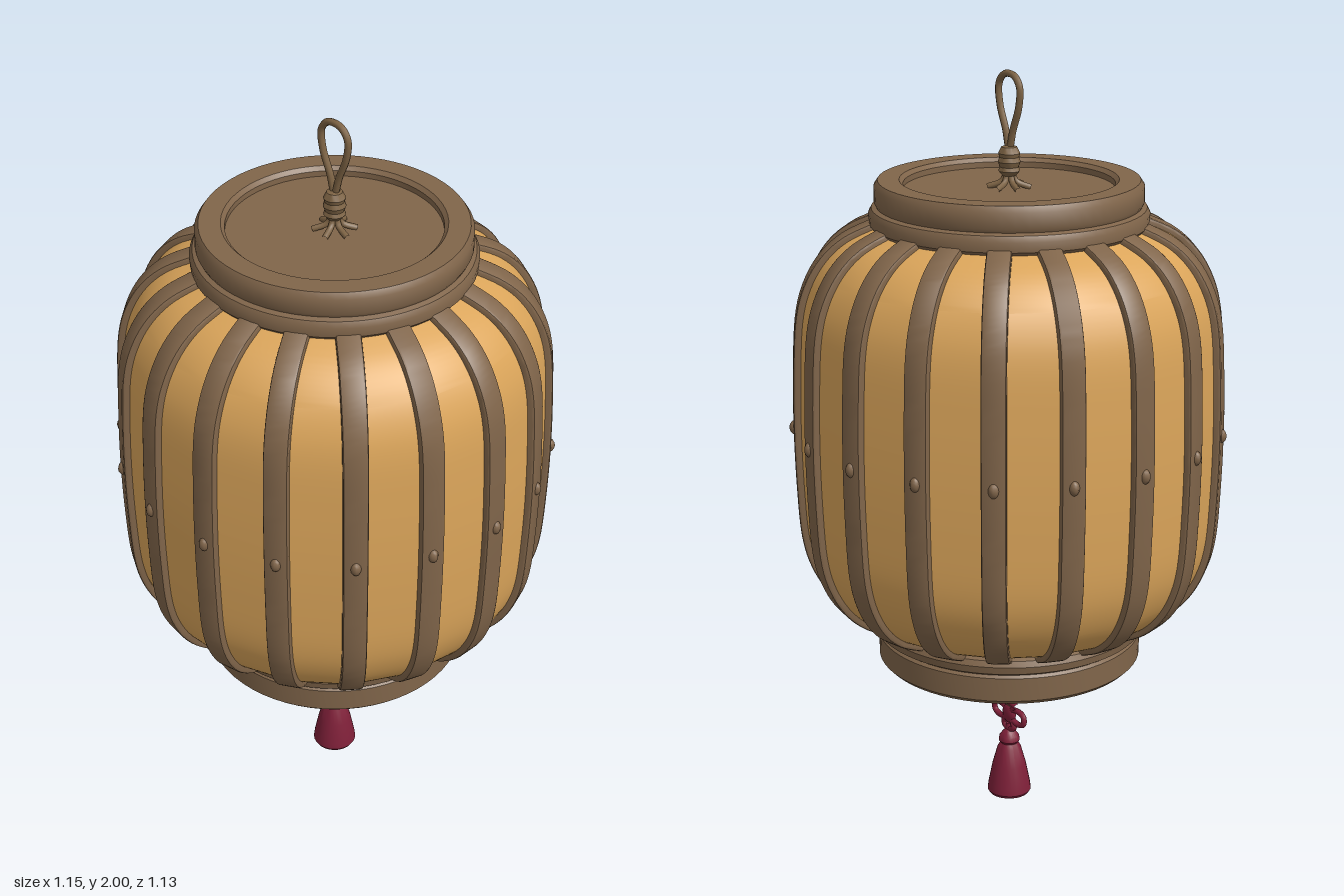
import * as THREE from 'three';
import { toCreasedNormals } from 'three/addons/utils/BufferGeometryUtils.js';

const mat = (name, color, side = THREE.FrontSide) => {
  const m = new THREE.MeshStandardMaterial({ color, side });
  m.name = name;
  return m;
};
const V2 = (x, y) => new THREE.Vector2(x, y);
const V3 = (x, y, z = 0) => new THREE.Vector3(x, y, z);

export function createModel() {
  const paper = mat('amber paper', 0xdba55a, THREE.DoubleSide);
  const wood = mat('brown wood', 0x80654a);
  const cord = mat('brown cord', 0x7d6344);
  const silk = mat('crimson silk', 0x7f2039);

  const model = new THREE.Group();
  model.name = 'lantern';
  const add = (name, geometry, material, x = 0, y = 0, z = 0) => {
    const mesh = new THREE.Mesh(geometry, material);
    mesh.name = name;
    mesh.position.set(x, y, z);
    model.add(mesh);
    return mesh;
  };
  const lathe = (pts, segs = 64) =>
    toCreasedNormals(new THREE.LatheGeometry(pts.map(p => V2(...p)), segs), 0.6);
  const tube = (pts, r, closed = false, segs = 40) =>
    new THREE.TubeGeometry(new THREE.CatmullRomCurve3(pts.map(p => V3(...p)), closed), segs, r, 8, closed);

  // Barrel profile, bottom to top, shared by paper and ribs
  const midY = 1.08;
  const half = [[0.565, 0], [0.562, 0.15], [0.553, 0.29], [0.53, 0.38], [0.487, 0.455], [0.425, 0.51], [0.335, 0.55]];
  const control = [
    ...half.slice(1).reverse().map(([r, d]) => V2(r, midY - d)),
    ...half.map(([r, d]) => V2(r, midY + d)),
  ];
  const curve = new THREE.SplineCurve(control);
  const steps = 60;
  const offset = d => Array.from({ length: steps + 1 }, (_, i) => {
    const p = curve.getPoint(i / steps), t = curve.getTangent(i / steps);
    return V2(p.x - t.y * d, p.y + t.x * d);
  });

  // Paper shade: flat panels that meet under the ribs
  const ribs = 18;
  const shade = new THREE.LatheGeometry(offset(0.014), ribs, Math.PI / ribs);
  add('paperShade', toCreasedNormals(shade, 0.3), paper);

  // Bent wooden ribs with a small node at mid height
  const bevel = 0.007, width = 0.062;
  const ribShape = new THREE.Shape([...offset(bevel), ...offset(0.03).reverse()]);
  const ribGeo = new THREE.ExtrudeGeometry(ribShape, {
    depth: width - 2 * bevel, bevelThickness: bevel, bevelSize: bevel, bevelSegments: 2, steps: 1,
  });
  ribGeo.translate(0, 0, -width / 2 + bevel);
  const ribSmooth = toCreasedNormals(ribGeo, 0.7);
  const nodeGeo = new THREE.SphereGeometry(0.02, 10, 8);
  for (let i = 0; i < ribs; i++) {
    const a = (i / ribs) * Math.PI * 2;
    add('rib', ribSmooth, wood).rotation.y = a;
    const node = add('ribNode', nodeGeo, wood, 0.56 * Math.cos(a), midY, -0.56 * Math.sin(a));
    node.scale.set(0.8, 1, 0.7);
    node.rotation.y = a;
  }

  // Top cap: flange, rim and recessed lid
  add('topCap', lathe([
    [0, 1.60], [0.345, 1.60], [0.358, 1.615], [0.36, 1.64], [0.352, 1.655], [0.34, 1.66],
    [0.345, 1.67], [0.345, 1.71], [0.335, 1.725], [0.28, 1.725], [0.27, 1.715], [0.27, 1.70], [0, 1.70],
  ]), wood);

  // Bottom cap: rim with a recessed underside
  add('bottomCap', lathe([
    [0, 0.465], [0.285, 0.465], [0.285, 0.43], [0.295, 0.42], [0.34, 0.42], [0.352, 0.432],
    [0.352, 0.495], [0.345, 0.502], [0.358, 0.51], [0.362, 0.53], [0.355, 0.545], [0.335, 0.555], [0, 0.555],
  ]), wood);

  // Hanging loop, its knot and the splayed cord ends
  add('hangingLoop', tube([
    [0, 1.80], [0.016, 1.85], [0.04, 1.91], [0.044, 1.96], [0.025, 1.985],
    [0, 1.991], [-0.025, 1.985], [-0.044, 1.96], [-0.04, 1.91], [-0.016, 1.85],
  ], 0.009, true, 64), cord);
  add('loopKnot', lathe([
    [0, 1.73], [0.018, 1.733], [0.028, 1.745], [0.024, 1.755], [0.029, 1.768],
    [0.025, 1.78], [0.028, 1.79], [0.02, 1.806], [0, 1.812],
  ], 20), cord);
  for (let i = 0; i < 6; i++) {
    const a = (i / 6) * Math.PI * 2 + 0.2, c = Math.cos(a), s = Math.sin(a);
    add('cordEnd', tube([
      [0.006 * c, 1.745, 0.006 * s], [0.018 * c, 1.718, 0.018 * s], [0.055 * c, 1.703, 0.055 * s],
    ], 0.008, false, 10), cord);
  }

  // Lower cord: a V hanging from a small patch
  add('cordPatch', new THREE.CylinderGeometry(0.06, 0.06, 0.008, 16), cord, 0, 0.462);
  for (const s of [-1, 1]) {
    add('lowerCord', tube([[s * 0.05, 0.465], [s * 0.04, 0.40], [s * 0.012, 0.31], [s * 0.004, 0.25]], 0.007, false, 16), cord);
  }

  // Decorative knot: two side loops, cross bands and a centre bead
  for (const s of [-1, 1]) {
    const side = tube([
      [s * 0.012, 0.245], [s * 0.04, 0.253], [s * 0.065, 0.246],
      [s * 0.066, 0.225], [s * 0.045, 0.215], [s * 0.015, 0.222],
    ], 0.008, true, 36);
    add('knotLoop', side, silk);
    add('knotBand', tube([[s * -0.032, 0.264], [0, 0.235], [s * 0.022, 0.2], [0, 0.185]], 0.009, false, 20), silk);
  }
  add('knotTop', tube([[-0.034, 0.264], [0, 0.27], [0.034, 0.264]], 0.009, false, 14), silk);
  add('knotCentre', new THREE.SphereGeometry(0.026, 14, 10), silk, 0, 0.235).scale.set(1, 1.1, 0.5);

  // Tassel: bound head and flared skirt
  add('tassel', lathe([
    [0, 0], [0.055, 0], [0.06, 0.008], [0.058, 0.025], [0.046, 0.085], [0.032, 0.135], [0.024, 0.148],
    [0.029, 0.155], [0.027, 0.168], [0.018, 0.18], [0.01, 0.188], [0.008, 0.205], [0, 0.207],
  ], 24), silk);

  return model;
}
